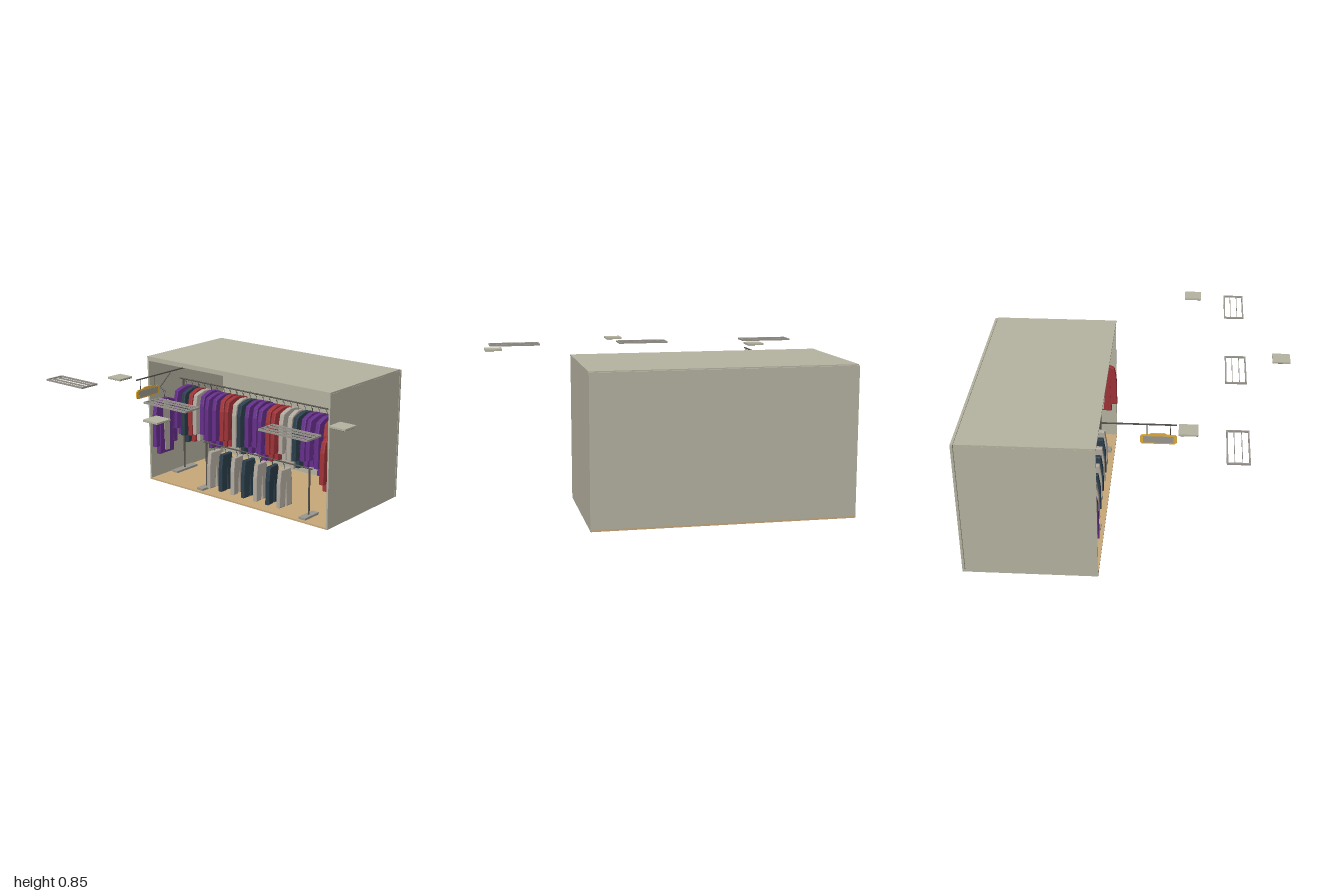
import * as THREE from 'three';

const mat = (name, color) => {
  const m = new THREE.MeshStandardMaterial({ color });
  m.name = name;
  return m;
};

export function createModel() {
  const wall = mat('stone grey wall', 0xb6b3a1);
  const wood = mat('tan floor', 0xc9a97a);
  const metal = mat('dark metal', 0x55524d);
  const steel = mat('steel grey', 0x9a978e);
  const gold = mat('gold', 0xe0ab3a);
  const purple = mat('purple cloth', 0x652e8a);
  const red = mat('red cloth', 0xa03338);
  const navy = mat('navy cloth', 0x2c3f4c);
  const beige = mat('beige cloth', 0xb2aba0);

  const root = new THREE.Group();
  root.name = 'clothingShop';

  const add = (parent, name, geo, material, x = 0, y = 0, z = 0) => {
    const m = new THREE.Mesh(geo, material);
    m.name = name;
    m.position.set(x, y, z);
    parent.add(m);
    return m;
  };
  // Box given by its minimum and maximum corners
  const box = (parent, name, material, x0, x1, y0, y1, z0, z1) =>
    add(parent, name, new THREE.BoxGeometry(x1 - x0, y1 - y0, z1 - z0), material,
      (x0 + x1) / 2, (y0 + y1) / 2, (z0 + z1) / 2);
  // Round bar between two points
  const bar = (parent, name, material, a, b, r) => {
    const p = new THREE.Vector3(...a), q = new THREE.Vector3(...b);
    const d = q.clone().sub(p);
    const m = add(parent, name, new THREE.CylinderGeometry(r, r, d.length(), 8), material);
    m.position.copy(p).add(q).multiplyScalar(0.5);
    m.quaternion.setFromUnitVectors(new THREE.Vector3(0, 1, 0), d.normalize());
    return m;
  };
  const group = (name, x = 0, y = 0, z = 0) => {
    const g = new THREE.Group();
    g.name = name;
    g.position.set(x, y, z);
    root.add(g);
    return g;
  };
  const outline = (pts) => new THREE.Shape(pts.map(([x, y]) => new THREE.Vector2(x, y)));
  // Extrusion centred on z = 0
  const slab = (shape, depth, bevel = 0) => new THREE.ExtrudeGeometry(shape, {
    depth, bevelEnabled: bevel > 0, bevelSize: bevel, bevelThickness: bevel, bevelSegments: 2,
  }).translate(0, 0, -depth / 2);

  // Shop shell, open towards -x
  const shell = group('shell');
  box(shell, 'floor', wood, 0.15, 0.908, 0, 0.01, -0.925, 0.532);
  box(shell, 'roof', wall, 0.148, 0.89, 0.835, 0.845, -0.928, 0.535);
  box(shell, 'backWall', wall, 0.894, 0.908, 0.001, 0.84, -0.928, 0.535);
  box(shell, 'sideWall', wall, 0.15, 0.891, 0.001, 0.834, -0.927, -0.915);
  box(shell, 'sideWall', wall, 0.15, 0.891, 0.001, 0.834, 0.522, 0.534);
  box(shell, 'lintel', wall, 0.152, 0.165, 0.815, 0.835, -0.915, 0.522);

  // Hanging sign on its arm
  const sign = group('hangingSign', -0.163, 0, -0.62);
  box(sign, 'arm', metal, -0.1, 0.33, 0.809, 0.816, -0.003, 0.003);
  [-0.065, 0.062].forEach((x) => bar(sign, 'wire', metal, [x, 0.745, 0], [x, 0.81, 0], 0.0018));
  const board = outline([[-0.09, 0.692], [0.09, 0.692], [0.1, 0.702], [0.1, 0.736], [0.09, 0.747],
    [0.05, 0.749], [0.04, 0.757], [-0.035, 0.757], [-0.045, 0.749], [-0.09, 0.747], [-0.1, 0.736], [-0.1, 0.702]]);
  add(sign, 'signBoard', slab(board, 0.008), gold);
  [-0.0045, 0.0045].forEach((z) =>
    box(sign, 'signPanel', steel, -0.083, 0.083, 0.7, 0.74, z - 0.001, z + 0.001));

  // Ceiling light frames with two long bars each
  [-0.842, -0.0225, 0.8].forEach((z) => {
    const f = group('ceilingLightFrame', -0.585, 0.829, z);
    [-0.057, -0.02, 0.02, 0.057].forEach((x, i) => {
      const w = i % 3 ? 0.0016 : 0.004;
      box(f, 'longBar', steel, x - w, x + w, -0.005, 0.005, -0.158, 0.158);
    });
    [-0.154, 0.154].forEach((e) =>
      box(f, 'endBar', steel, -0.061, 0.061, -0.005, 0.005, e - 0.004, e + 0.004));
  });

  // Square ceiling tiles with dark undersides
  [[-0.856, 0.124], [-0.325, -0.696], [-0.325, 0.948]].forEach(([x, z]) => {
    const t = group('ceilingTile', x, 0.83, z);
    box(t, 'tileTop', wall, -0.052, 0.052, -0.004, 0.006, -0.052, 0.052);
    box(t, 'tileUnderside', metal, -0.05, 0.05, -0.006, -0.004, -0.05, 0.05);
  });

  // Shared garment shapes, hung from the origin
  const bodyGeo = slab(outline([[-0.02, -0.045], [0.02, -0.045], [0.068, -0.06], [0.058, -0.2],
    [0.064, -0.37], [-0.064, -0.37], [-0.058, -0.2], [-0.068, -0.06]]), 0.022, 0.005);
  const sleeveGeo = [1, -1].map((s) => {
    const pts = [[0.06, -0.056], [0.084, -0.068], [0.097, -0.13], [0.1, -0.32], [0.07, -0.32], [0.066, -0.2]];
    return slab(outline(pts.map(([x, y]) => [x * s, y])), 0.022, 0.005);
  });
  const shirtGeo = slab(outline([[-0.022, -0.05], [0.022, -0.05], [0.03, -0.14], [0.02, -0.36],
    [-0.02, -0.36], [-0.03, -0.14]]), 0.004);
  const hookGeo = new THREE.TorusGeometry(0.01, 0.002, 6, 12, Math.PI * 1.4);

  const hanger = (g, half) => {
    add(g, 'hook', hookGeo, metal, 0, -0.006, 0);
    bar(g, 'hangerStem', metal, [0, -0.015, 0], [0, -0.045, 0], 0.002);
    [-1, 1].forEach((s) => bar(g, 'hangerArm', metal, [0, -0.04, 0], [s * half, -0.062, 0], 0.0025));
  };
  const jacket = (name, x, y, z, cloth, shirt) => {
    const g = group(name, x, y, z);
    hanger(g, 0.06);
    add(g, 'jacketBody', bodyGeo, cloth);
    sleeveGeo.forEach((s) => add(g, 'sleeve', s, cloth));
    if (shirt) add(g, 'shirtFront', shirtGeo, shirt, 0, 0, -0.0175);
    return g;
  };

  // Main rail: a row of jackets
  const rack = group('mainRack');
  bar(rack, 'rail', metal, [0.43, 0.65, -0.9], [0.43, 0.65, 0.48], 0.005);
  [-0.87, 0.46].forEach((z) => {
    bar(rack, 'post', metal, [0.43, 0.01, z], [0.43, 0.65, z], 0.006);
    box(rack, 'foot', steel, 0.33, 0.53, 0.01, 0.024, z - 0.025, z + 0.025);
  });
  const cloths = { P: purple, R: red, B: beige, N: navy };
  [...'PNRBPPPRRBNPPPRRBBNPPPRR'].forEach((c, i) => {
    const j = jacket('railJacket', 0.43, 0.65, -0.84 + i * 0.055, cloths[c], i % 3 ? null : beige);
    j.rotation.y = (((i * 7) % 5) - 2) * 0.05;
    j.scale.set(1.04, 0.98 + ((i * 3) % 4) * 0.04, 1);
  });

  // Low rail: a row of trousers
  const low = group('lowRack');
  bar(low, 'rail', metal, [0.24, 0.32, -0.52], [0.24, 0.32, 0.35], 0.005);
  [-0.5, 0.33].forEach((z) => {
    bar(low, 'post', metal, [0.24, 0.01, z], [0.24, 0.32, z], 0.006);
    box(low, 'foot', steel, 0.17, 0.31, 0.01, 0.024, z - 0.025, z + 0.025);
  });
  const trouserGeo = slab(outline([[-0.04, -0.045], [0.04, -0.045], [0.052, -0.13], [0.054, -0.28],
    [0.012, -0.28], [0, -0.12], [-0.012, -0.28], [-0.054, -0.28], [-0.052, -0.13]]), 0.02, 0.005);
  for (let i = 0; i < 7; i++) {
    const g = group('trousers', 0.24, 0.32, -0.43 + i * 0.095);
    hanger(g, 0.038);
    add(g, 'trouserLegs', trouserGeo, i % 2 ? navy : beige);
    g.rotation.y = ((i % 3) - 1) * 0.08;
  }

  // Single jackets hung against the two end walls, the purple one longer
  [[0.485, red, 0, 1], [-0.875, purple, Math.PI, 1.12]].forEach(([z, cloth, turn, stretch]) => {
    const j = jacket('wallJacket', 0.248, 0.6, z, cloth, beige);
    j.rotation.y = turn;
    j.scale.y = stretch;
    const end = z > 0 ? 0.522 : -0.915;
    bar(root, 'wallPeg', metal, [0.248, 0.605, z], [0.248, 0.62, end], 0.004);
    bar(root, 'wallBrace', metal, [0.248, 0.62, end], [0.35, 0.7, end], 0.004);
  });

  return root;
}
